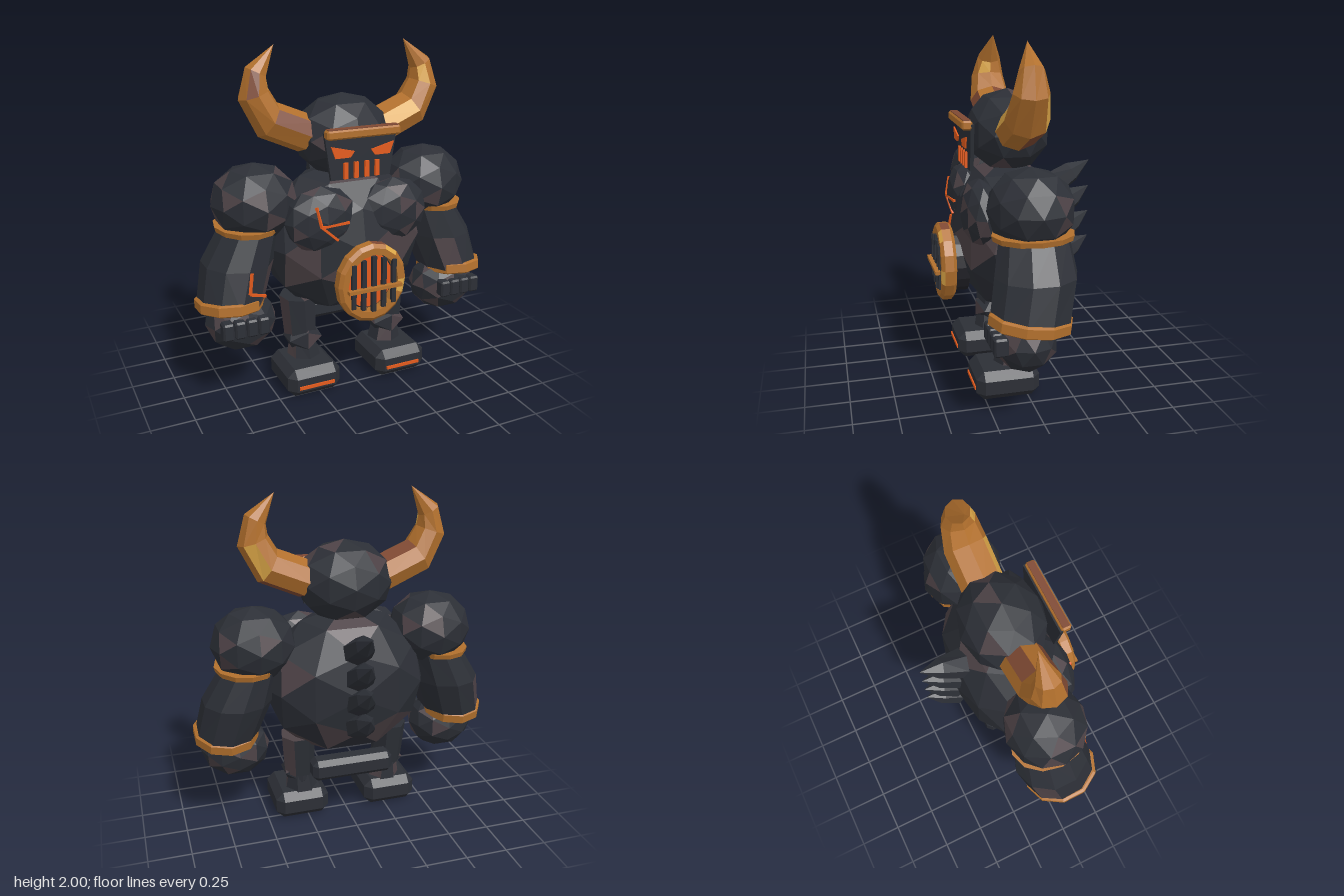
import * as THREE from 'three';
import { ConvexGeometry } from 'three/addons/geometries/ConvexGeometry.js';

export function createModel() {
  const root = new THREE.Group();
  root.name = 'hornedGolem';
  const mat = (name, color) => Object.assign(new THREE.MeshStandardMaterial({ color }), { name });
  const stone = mat('stone', 0x2c2f36), umber = mat('umberStone', 0x4d4246), coal = mat('coal', 0x232329);
  const bronze = mat('bronze', 0xb2702d), gold = mat('gold', 0xdea848), copper = mat('copper', 0x7f4933);
  const ember = mat('ember', 0xe45b1d);
  const rock = [stone, stone, stone, umber, stone, stone];

  let seed = 7;
  const rand = () => (seed = (seed * 16807) % 2147483647) / 2147483647;

  // Flat facets, each coloured at random from the palette or by its entry in accents
  function add(parent, name, geo, palette, step = 3, accents = {}) {
    if (geo.index) geo = geo.toNonIndexed();
    geo.computeVertexNormals();
    geo.clearGroups();
    const mats = [...new Set([...palette, ...Object.values(accents)])];
    let material = mats[0];
    if (mats.length > 1) {
      material = mats;
      const n = geo.attributes.position.count;
      for (let i = 0; i < n; i += step) {
        const pick = accents[i / step] || palette[Math.floor(rand() * palette.length)];
        geo.addGroup(i, Math.min(step, n - i), mats.indexOf(pick));
      }
    }
    const mesh = new THREE.Mesh(geo, material);
    mesh.name = name;
    parent.add(mesh);
    return mesh;
  }

  const boulder = (x, y, z, rx, ry, rz, detail = 1) =>
    new THREE.IcosahedronGeometry(1, detail).scale(rx, ry, rz).translate(x, y, z);
  const box = (x, y, z, w, h, d) => new THREE.BoxGeometry(w, h, d).translate(x, y, z);
  const plate = (pts, z, depth) => new THREE.ExtrudeGeometry(
    new THREE.Shape(pts.map(p => new THREE.Vector2(...p))), { depth, bevelEnabled: false }).translate(0, 0, z);

  // Box with all edges cut by c
  function chamferBox(x, y, z, w, h, d, c) {
    const pts = [];
    for (const i of [-1, 1]) for (const j of [-1, 1]) for (const k of [-1, 1])
      for (let a = 0; a < 3; a++)
        pts.push(new THREE.Vector3(
          x + i * (w / 2 - (a === 0 ? 0 : c)),
          y + j * (h / 2 - (a === 1 ? 0 : c)),
          z + k * (d / 2 - (a === 2 ? 0 : c))));
    return new ConvexGeometry(pts);
  }

  // Rings from top to bottom: [x, y, z, width radius, depth radius, tilt in degrees]
  function loft(rings, sides) {
    const n = rings.length - 1;
    const geo = new THREE.CylinderGeometry(1, 1, 1, sides, n);
    const p = geo.attributes.position;
    for (let i = 0; i < p.count; i++) {
      const [x, y, z, rx, rz, tilt = 0] = rings[Math.round((0.5 - p.getY(i)) * n)];
      const t = tilt * Math.PI / 180, u = p.getX(i) * rx;
      p.setXYZ(i, x + u * Math.cos(t), y + u * Math.sin(t), z + p.getZ(i) * rz);
    }
    return geo;
  }

  // Thin glowing strip along a path
  function crack(name, pts) {
    for (let i = 1; i < pts.length; i++) {
      const a = new THREE.Vector3(...pts[i - 1]), b = new THREE.Vector3(...pts[i]);
      const m = add(root, name, new THREE.BoxGeometry(0.014, 0.014, a.distanceTo(b)), [ember]);
      m.position.copy(a).add(b).multiplyScalar(0.5);
      m.lookAt(b);
    }
  }

  // Body
  add(root, 'torso', boulder(0, 0.87, 0.02, 0.5, 0.46, 0.335), rock);
  add(root, 'pelvis', chamferBox(0, 0.365, -0.125, 0.5, 0.13, 0.13, 0.03), [stone]);

  // Back spikes
  for (let i = 0; i < 4; i++) {
    const base = new THREE.Vector3(0, 1.13 - i * 0.148, [-0.24, -0.27, -0.285, -0.285][i]);
    const tip = new THREE.Vector3(0, 1.28 - i * 0.157, -0.485);
    const dir = tip.clone().sub(base), l = dir.length();
    const spike = add(root, 'backSpike', loft([
      [0, l, 0, 0, 0], [0, l * 0.55, 0, 0.058, 0.062], [0, 0, 0, 0.09, 0.08]], 6), [stone]);
    spike.position.copy(base);
    spike.quaternion.setFromUnitVectors(new THREE.Vector3(0, 1, 0), dir.normalize());
  }

  // Head, face plate and brow
  add(root, 'head', boulder(0, 1.48, 0.02, 0.285, 0.24, 0.245), rock);
  add(root, 'facePlate', plate([[-0.18, 1.285], [0.18, 1.285], [0.22, 1.55], [-0.22, 1.55]], 0.256, 0.02), [stone]);
  add(root, 'brow', chamferBox(0, 1.545, 0.295, 0.44, 0.052, 0.06, 0.01), [bronze]);
  add(root, 'browTop', box(0, 1.572, 0.295, 0.42, 0.006, 0.042), [copper]);
  for (const x of [-0.095, -0.032, 0.032, 0.095])
    add(root, 'mouthSlot', box(x, 1.335, 0.277, 0.026, 0.09, 0.026), [ember]);

  // Belly furnace
  const rim = [[0.155, 0.36], [0.19, 0.36], [0.21, 0.38], [0.21, 0.43], [0.19, 0.448], [0.155, 0.448], [0.155, 0.36]];
  const ring = new THREE.LatheGeometry(rim.map(p => new THREE.Vector2(...p)), 16);
  add(root, 'furnaceRing', ring.rotateX(Math.PI / 2).scale(1, 1.11, 1).translate(0, 0.715, 0),
    [bronze], 6, { 21: gold, 22: gold, 39: gold, 44: copper });
  const disc = (r, d, z) => new THREE.CylinderGeometry(r, r, d, 16).rotateX(Math.PI / 2).scale(1, 1.11, 1).translate(0, 0.715, z);
  add(root, 'furnaceBack', disc(0.165, 0.1, 0.33), [coal]);
  add(root, 'furnaceGlow', disc(0.147, 0.008, 0.384), [ember]);
  for (let i = -2; i <= 2; i++)
    add(root, 'grateBar', box(i * 0.062, 0.715, 0.448, 0.026, 0.33 - Math.abs(i) * 0.035, 0.022), [stone]);
  add(root, 'grateCrossbar', box(0, 0.695, 0.467, 0.33, 0.02, 0.03), [bronze]);

  // Paired parts, built on the left and mirrored
  for (const s of [1, -1]) {
    const side = new THREE.Group();
    side.name = s > 0 ? 'leftSide' : 'rightSide';
    side.scale.x = s;
    root.add(side);

    // Horn with a few worn facets
    const worn = s > 0 ? { 31: gold, 29: gold, 14: gold, 11: copper } : { 31: copper, 1: copper, 23: copper, 25: gold };
    add(side, 'horn', loft([
      [0.395, 2.0, 0.01, 0, 0], [0.503, 1.86, 0.015, 0.065, 0.07, 27], [0.522, 1.745, 0.02, 0.09, 0.1, -18],
      [0.445, 1.6, 0.02, 0.108, 0.125, -58], [0.225, 1.505, 0.02, 0.11, 0.125, -67]], 8), [bronze], 6, worn);
    add(side, 'eye', plate([[0.19, 1.48], [0.165, 1.412], [0.075, 1.412], [0.05, 1.445]], 0.292, 0.009), [ember]);

    // Chest and arm
    add(side, 'chestMuscle', boulder(0.224, 1.06, 0.235, 0.218, 0.192, 0.107), rock);
    add(side, 'shoulder', boulder(0.54, 1.15, 0.025, 0.25, 0.222, 0.24), rock);
    add(side, 'shoulderBand', loft([
      [0.592, 1.03, 0.025, 0.183, 0.226], [0.592, 1.0, 0.025, 0.176, 0.218]], 12), [bronze]);
    add(side, 'forearm', loft([
      [0.57, 1.02, 0.015, 0.165, 0.19], [0.652, 0.82, 0.025, 0.205, 0.225], [0.716, 0.6, 0.07, 0.187, 0.222]], 10), rock, 6);
    const cuff = add(side, 'bracelet', loft([
      [0, 0.034, 0, 0.178, 0.215], [0, 0.025, 0, 0.194, 0.228],
      [0, -0.025, 0, 0.194, 0.228], [0, -0.034, 0, 0.178, 0.215]], 10), [bronze]);
    cuff.position.set(0.722, 0.597, 0.072);
    cuff.rotation.x = -0.13;
    add(side, 'hand', boulder(0.667, 0.485, 0.09, 0.208, 0.178, 0.178), rock);
    for (let i = 0; i < 4; i++)
      add(side, 'knuckle', chamferBox(0.588 + i * 0.068, 0.503, 0.25, 0.064, 0.1, 0.075, 0.01), [stone]);

    // Leg
    add(side, 'thigh', loft([[0.295, 0.54, 0.03, 0.105, 0.12], [0.285, 0.28, 0.05, 0.095, 0.105]], 7), rock, 6);
    add(side, 'knee', boulder(0.28, 0.285, 0.065, 0.12, 0.1, 0.115, 0), rock);
    add(side, 'ankle', loft([[0.28, 0.28, 0.06, 0.075, 0.09], [0.27, 0.15, 0.065, 0.105, 0.11]], 7), rock, 6);
    add(side, 'foot', chamferBox(0.285, 0.085, 0.115, 0.33, 0.17, 0.37, 0.045), [stone]);
    add(side, 'footStripe', box(0.285, 0.07, 0.303, 0.22, 0.02, 0.009), [ember]);
  }

  // Glowing cracks on the right chest and forearm
  const joint = [-0.265, 1.05, 0.34];
  crack('chestCrack', [[-0.285, 1.16, 0.317], joint, [-0.09, 1.05, 0.32]]);
  crack('chestCrack', [joint, [-0.16, 0.955, 0.32]]);
  crack('armCrack', [[-0.64, 0.815, 0.25], [-0.66, 0.7, 0.268], [-0.565, 0.67, 0.25]]);

  return root;
}
